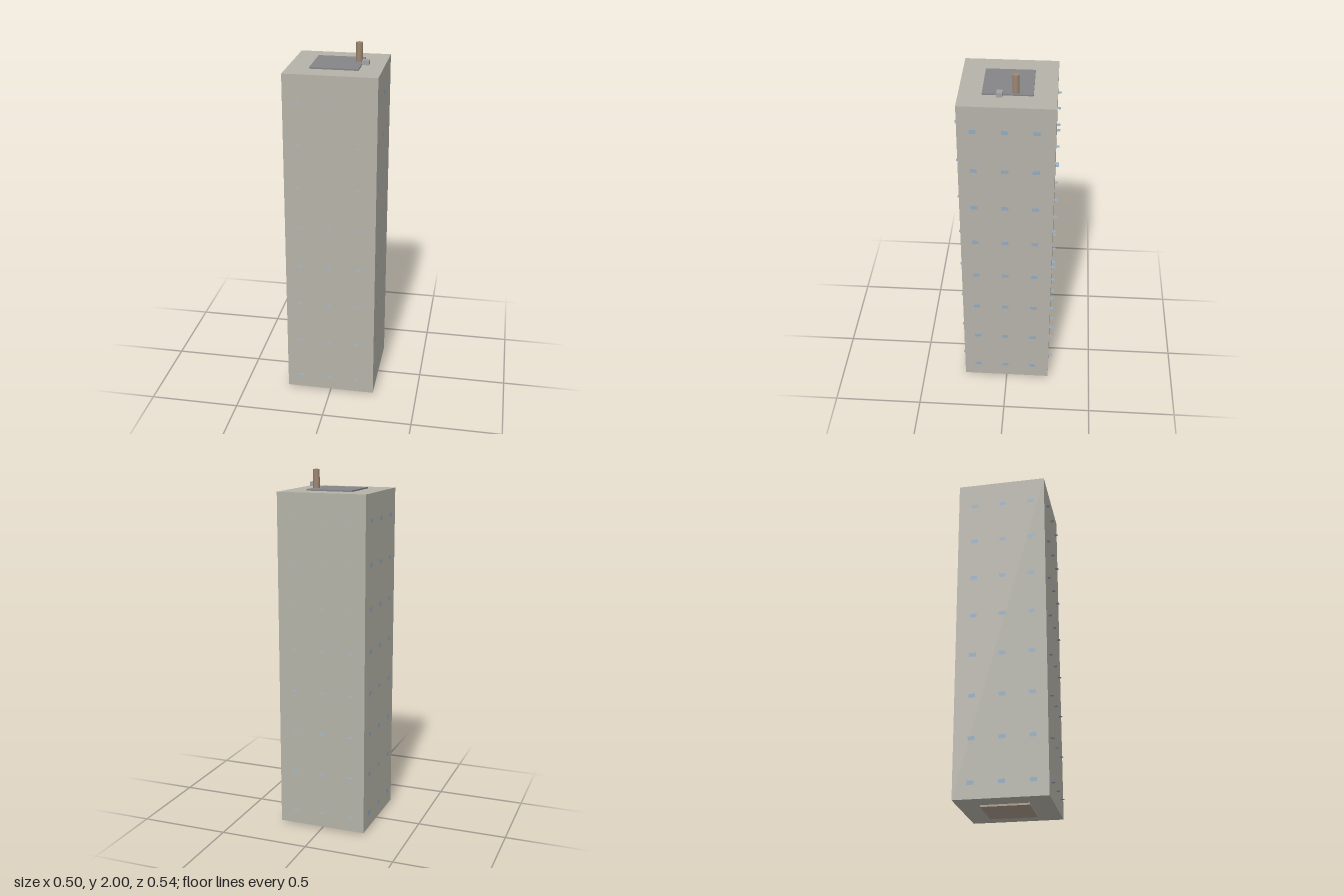
import * as THREE from 'three';

const mat = (color, side = THREE.FrontSide) => {
  const m = new THREE.MeshStandardMaterial({ color });
  m.side = side;
  return m;
};

export function createModel() {
  const tower = new THREE.Group();
  tower.name = 'tower';

  const add = (name, geometry, material, x, y, z, parent = tower) => {
    const mesh = new THREE.Mesh(geometry, material);
    mesh.name = name;
    mesh.position.set(x, y, z);
    parent.add(mesh);
    return mesh;
  };

  // Main shaft, with a thin square plate below and above
  add('shaft', new THREE.BoxGeometry(0.5, 1.88, 0.5), mat(0xb4b2a8), 0, 0.95, 0);
  add('basePlate', new THREE.BoxGeometry(0.26, 0.01, 0.26), mat(0xa8998a), 0, 0.005, 0);
  add('roofPlate', new THREE.BoxGeometry(0.26, 0.008, 0.26), mat(0x858587), 0, 1.894, 0);

  // Rooftop fittings
  add('roofPipe', new THREE.CylinderGeometry(0.018, 0.018, 0.104, 16), mat(0x9c8670), 0.108, 1.948, -0.04);
  add('roofVent', new THREE.BoxGeometry(0.036, 0.025, 0.029), mat(0xa2a2a5), 0.155, 1.914, 0.039);

  // Rows of small panes: flat ledges through front and back, flush panes on the sides
  const glass = mat(0x92aac0, THREE.DoubleSide);
  const ledge = new THREE.PlaneGeometry(0.022, 0.037).rotateX(-Math.PI / 2);
  const pane = new THREE.PlaneGeometry(0.037, 0.022).rotateY(Math.PI / 2);
  const windows = new THREE.Group();
  windows.name = 'windows';
  tower.add(windows);
  for (let row = 0; row < 8; row++) {
    const y = 0.096 + row * 0.2357;
    for (let col = 0; col < 3; col++) {
      const offset = -0.17 + col * 0.1625;
      for (const s of [1, -1]) {
        add(s > 0 ? 'frontLedge' : 'backLedge', ledge, glass, offset, y, s * 0.25, windows);
        add(s > 0 ? 'leftPane' : 'rightPane', pane, glass, s * 0.2508, y, -offset, windows);
      }
    }
  }
  return tower;
}
